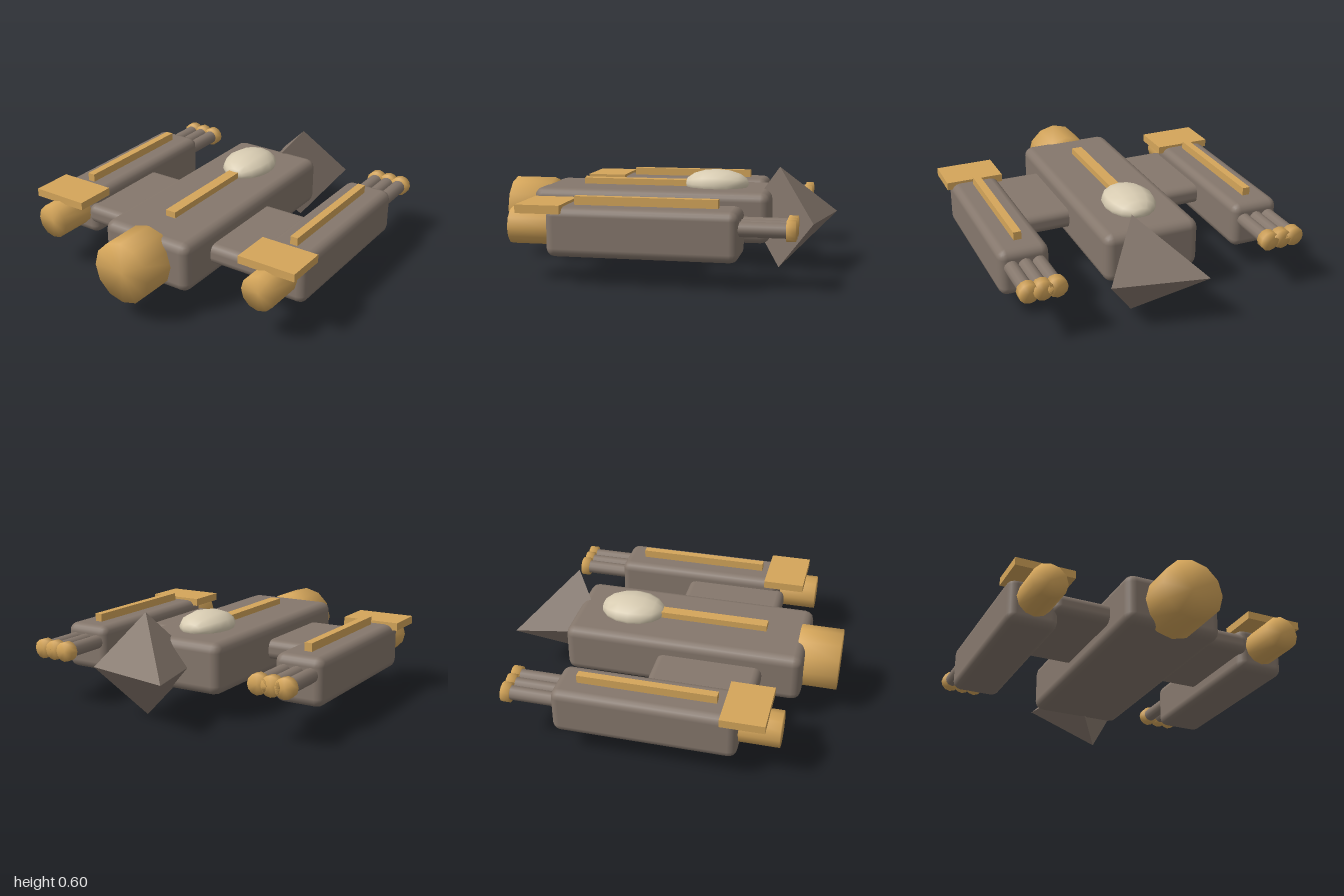
import * as THREE from 'three';
import { RoundedBoxGeometry } from 'three/addons/geometries/RoundedBoxGeometry.js';
import { mergeVertices } from 'three/addons/utils/BufferGeometryUtils.js';

export function createModel() {
  const group = new THREE.Group();
  const hullBrown = new THREE.MeshStandardMaterial({ color: 0x85776c });
  const gold = new THREE.MeshStandardMaterial({ color: 0xd4a55a });
  const cream = new THREE.MeshStandardMaterial({ color: 0xd8ccb2 });

  function add(name, geometry, material, x, y, z) {
    const mesh = new THREE.Mesh(geometry, material);
    mesh.name = name;
    mesh.position.set(x, y, z);
    group.add(mesh);
    return mesh;
  }

  // Boxes given by their min and max corners; a radius rounds the edges
  function box(name, material, [x0, y0, z0], [x1, y1, z1], radius = 0) {
    const size = [x1 - x0, y1 - y0, z1 - z0];
    const geometry = radius
      ? new RoundedBoxGeometry(...size, 2, radius)
      : new THREE.BoxGeometry(...size);
    return add(name, geometry, material, (x0 + x1) / 2, (y0 + y1) / 2, (z0 + z1) / 2);
  }

  // Cylinder along z; soft ones share normals between wall and caps
  function rod(name, material, radius, z0, z1, x, y, sides, soft) {
    let geometry = new THREE.CylinderGeometry(radius, radius, z1 - z0, sides);
    if (soft) {
      geometry.deleteAttribute('normal');
      geometry.deleteAttribute('uv');
      geometry = mergeVertices(geometry);
      geometry.computeVertexNormals();
    }
    geometry.rotateX(Math.PI / 2);
    return add(name, geometry, material, x, y, (z0 + z1) / 2);
  }

  // Central body
  box('mainHull', hullBrown, [-0.29, 0.16, -0.63], [0.29, 0.46, 0.8], 0.055);
  box('wing', hullBrown, [-0.62, 0.25, -0.06], [0.62, 0.37, 0.57], 0.045);
  rod('noseCap', gold, 0.183, 0.75, 1.0, 0, 0.308, 12, true);
  box('spineStrip', gold, [-0.033, 0.45, -0.12], [0.033, 0.497, 0.55]);

  // Canopy
  const dome = new THREE.SphereGeometry(1, 12, 8);
  dome.rotateX(Math.PI / 2);
  dome.scale(0.155, 0.087, 0.195);
  add('canopy', dome, cream, 0, 0.479, -0.28);

  // Four-sided tail fin, its point turned back and to the right
  const fin = new THREE.ConeGeometry(0.3, 0.46, 4).toNonIndexed();
  fin.computeVertexNormals();
  fin.rotateX(-Math.PI / 2);
  fin.rotateY(Math.PI / 4);
  add('tailFin', fin, hullBrown, -0.003, 0.305, -0.838);

  // Side pods with nose cap, deck plate, strip and triple barrels
  for (const side of [-1, 1]) {
    const x = side * 0.725;
    const prefix = side > 0 ? 'left' : 'right';
    box(prefix + 'Pod', hullBrown, [x - 0.148, 0.158, -0.525], [x + 0.148, 0.435, 0.535], 0.05);
    rod(prefix + 'PodCap', gold, 0.105, 0.52, 0.762, x, 0.31, 12, true);
    box(prefix + 'DeckPlate', gold, [x - 0.175, 0.403, 0.44], [x + 0.175, 0.45, 0.69]);
    box(prefix + 'PodStrip', gold, [x - 0.023, 0.43, -0.4], [x + 0.023, 0.483, 0.4]);
    for (const i of [-1, 0, 1]) {
      const bx = x + i * 0.08;
      rod(prefix + 'Barrel', hullBrown, 0.042, -0.79, -0.48, bx, 0.34, 12, false);
      rod(prefix + 'BarrelTip', gold, 0.058, -0.822, -0.772, bx, 0.34, 12, true);
    }
  }
  return group;
}
